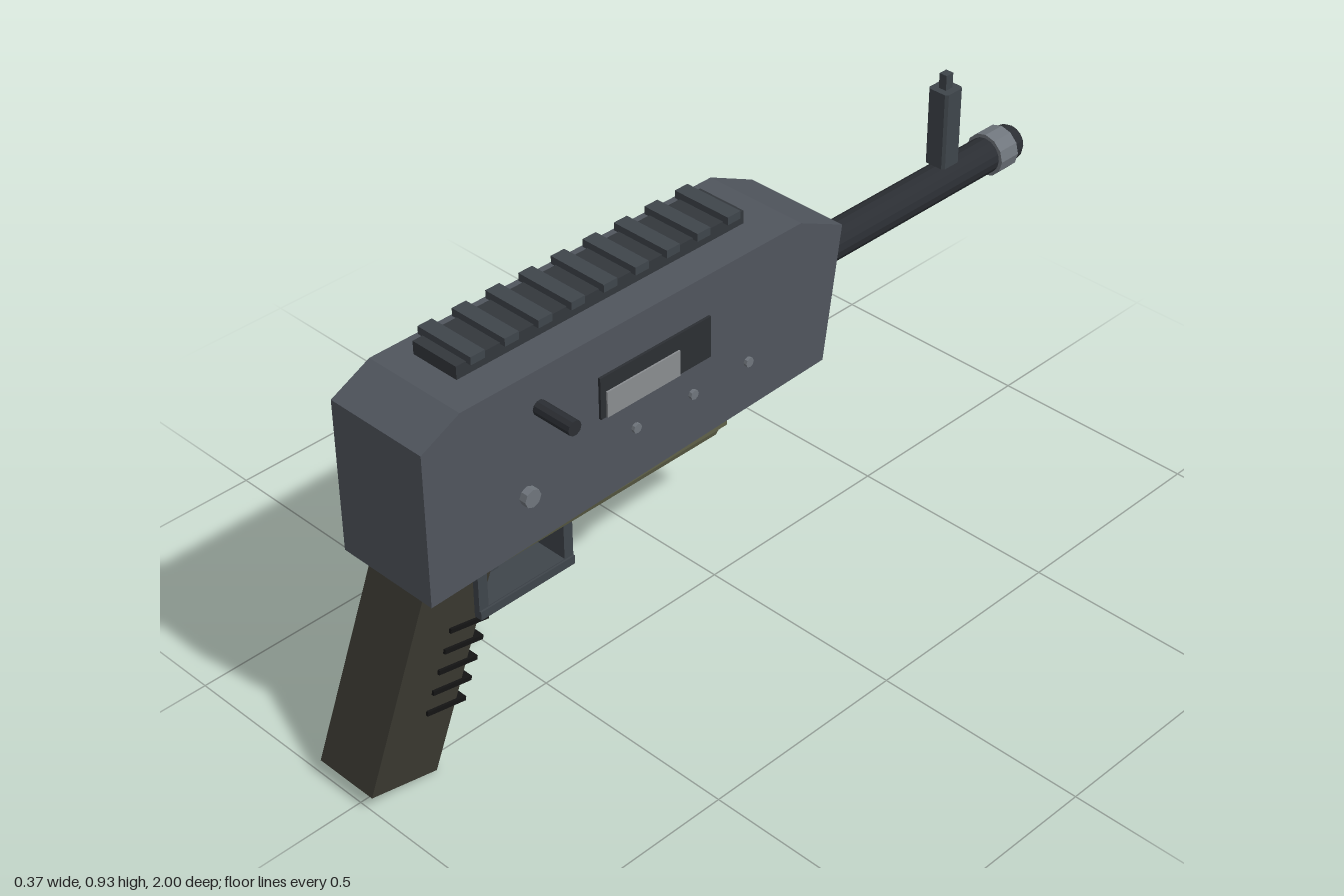
import * as THREE from 'three';

const CX = -0.042; // centre plane of the weapon

const mat = (color, opts = {}) => new THREE.MeshStandardMaterial({ color, flatShading: true, ...opts });
const M = {
  body: mat(0x50555d), barrel: mat(0x2b2e33), steel: mat(0x70767d), rail: mat(0x33373c),
  guard: mat(0x3f454b), grip: mat(0x38372f), olive: mat(0x5f6149), port: mat(0x2c2f33),
  bolt: mat(0x8a8d90), dark: mat(0x141414),
};

export function createModel() {
  const root = new THREE.Group();

  const add = (name, geo, material, x = 0, y = 0, z = 0, parent = root) => {
    const m = new THREE.Mesh(geo, material);
    m.name = name;
    m.position.set(x, y, z);
    parent.add(m);
    return m;
  };
  const box = (name, material, w, h, d, x, y, z, parent) =>
    add(name, new THREE.BoxGeometry(w, h, d), material, x, y, z, parent);
  const group = (name) => {
    const g = new THREE.Group();
    g.name = name;
    root.add(g);
    return g;
  };

  // Side profile given as [z, y] points, extruded across x about the centre plane
  const slab = (name, material, pts, width, hole) => {
    const v = (l) => l.map(([a, b]) => new THREE.Vector2(a, b));
    const shape = new THREE.Shape(v(pts));
    if (hole) shape.holes.push(new THREE.Path(v(hole)));
    const geo = new THREE.ExtrudeGeometry(shape, { depth: width, bevelEnabled: false });
    geo.rotateY(-Math.PI / 2).translate(CX + width / 2, 0, 0);
    return add(name, geo, material);
  };

  // Receiver
  slab('receiver', M.body, [[0.855, 0.462], [0.855, 0.82], [0.757, 0.867], [-0.163, 0.867],
    [-0.288, 0.808], [-0.238, 0.495]], 0.256);

  // Barrel with a bored muzzle, lathed along its axis
  const tube = [[0, 0.2], [0.042, 0.2], [0.042, 0.99], [0.036, 1], [0.02, 1], [0.02, 0.95], [0, 0.95]]
    .map(([r, l]) => new THREE.Vector2(r, l));
  add('barrel', new THREE.LatheGeometry(tube, 16).rotateX(-Math.PI / 2),
    mat(0x2b2e33, { side: THREE.DoubleSide }), CX, 0.66, 0);
  for (const [name, z] of [['rearCollar', -0.327], ['muzzleCollar', -0.935]]) {
    add(name, new THREE.CylinderGeometry(0.051, 0.051, 0.056, 12).rotateX(Math.PI / 2), M.steel, CX, 0.66, z);
  }

  // Front sight: chamfered post and tip
  const post = new THREE.CylinderGeometry(1, 1, 1, 8, 1).rotateY(Math.PI / 8);
  const p = post.attributes.position;
  for (let i = 0; i < p.count; i++) { // push the octagon out to a square with small chamfers
    const x = p.getX(i), z = p.getZ(i);
    const push = (a) => (Math.abs(a) < 0.01 ? 0 : Math.sign(a) * (Math.abs(a) > 0.6 ? 0.0275 : 0.0215));
    p.setX(i, push(x));
    p.setZ(i, push(z));
  }
  post.scale(1, 0.185, 1);
  post.computeVertexNormals();
  const sight = group('frontSight');
  add('sightPost', post, M.guard, CX, 0.7985, -0.758, sight);
  box('sightTip', M.guard, 0.02, 0.04, 0.022, CX, 0.907, -0.758, sight);

  // Top rail with cross teeth
  const rail = group('topRail');
  box('railBase', M.rail, 0.122, 0.03, 0.768, CX, 0.897, 0.32, rail);
  for (let i = 0; i < 9; i++) {
    box('railTooth', M.guard, 0.149, 0.018, 0.036, CX, 0.918, 0.661 - i * 0.0855, rail);
  }

  // Ejection port, bolt and charging handle on the left side
  box('ejectionPort', M.port, 0.02, 0.097, 0.305, 0.082, 0.723, 0.256);
  box('bolt', M.bolt, 0.02, 0.06, 0.2, 0.086, 0.705, 0.294);
  add('chargingHandle', new THREE.CylinderGeometry(0.017, 0.017, 0.13, 10).rotateZ(Math.PI / 2),
    M.barrel, 0.119, 0.781, 0.562);

  // Pins passing through the receiver
  const pin = (name, r, len, y, z) =>
    add(name, new THREE.CylinderGeometry(r, r, len, 8).rotateZ(Math.PI / 2), M.steel, CX, y, z);
  pin('mainPin', 0.021, 0.29, 0.594, 0.602);
  for (const z of [0.312, 0.152, -0.008]) pin('smallPin', 0.011, 0.272, 0.605, z);

  // Lower plate: box narrowed toward its underside
  const plate = new THREE.BoxGeometry(0.225, 0.05, 0.725);
  const q = plate.attributes.position;
  for (let i = 0; i < q.count; i++) {
    if (q.getY(i) < 0) {
      q.setX(i, q.getX(i) * 0.87);
      q.setZ(i, q.getZ(i) * 0.95);
    }
  }
  plate.computeVertexNormals();
  add('lowerPlate', plate, M.olive, CX, 0.461, 0.397);
  box('lowerPlateRim', M.olive, 0.225, 0.035, 0.725, CX, 0.477, 0.397).visible = true;

  // Trigger guard and trigger
  slab('triggerGuard', M.guard,
    [[0.71, 0.455], [0.71, 0.34], [0.458, 0.34], [0.458, 0.455]], 0.188,
    [[0.686, 0.449], [0.482, 0.449], [0.482, 0.35], [0.686, 0.35]]);
  box('guardFloor', M.guard, 0.197, 0.02, 0.252, CX, 0.338, 0.584);
  slab('trigger', M.guard, [[0.605, 0.455], [0.578, 0.455], [0.594, 0.348], [0.625, 0.348]], 0.04);

  // Pistol grip with finger ribs
  slab('grip', M.grip, [[0.822, 0.48], [0.999, 0.036], [0.833, 0.002], [0.637, 0.48]], 0.158);
  for (let i = 0; i < 5; i++) {
    const y = 0.15 + i * 0.0422;
    const rib = box('gripRib', M.dark, 0.17, 0.01, 0.1, CX, y + 0.004, 0.8 - i * 0.018);
    rib.rotation.x = -0.19;
  }

  return root;
}
